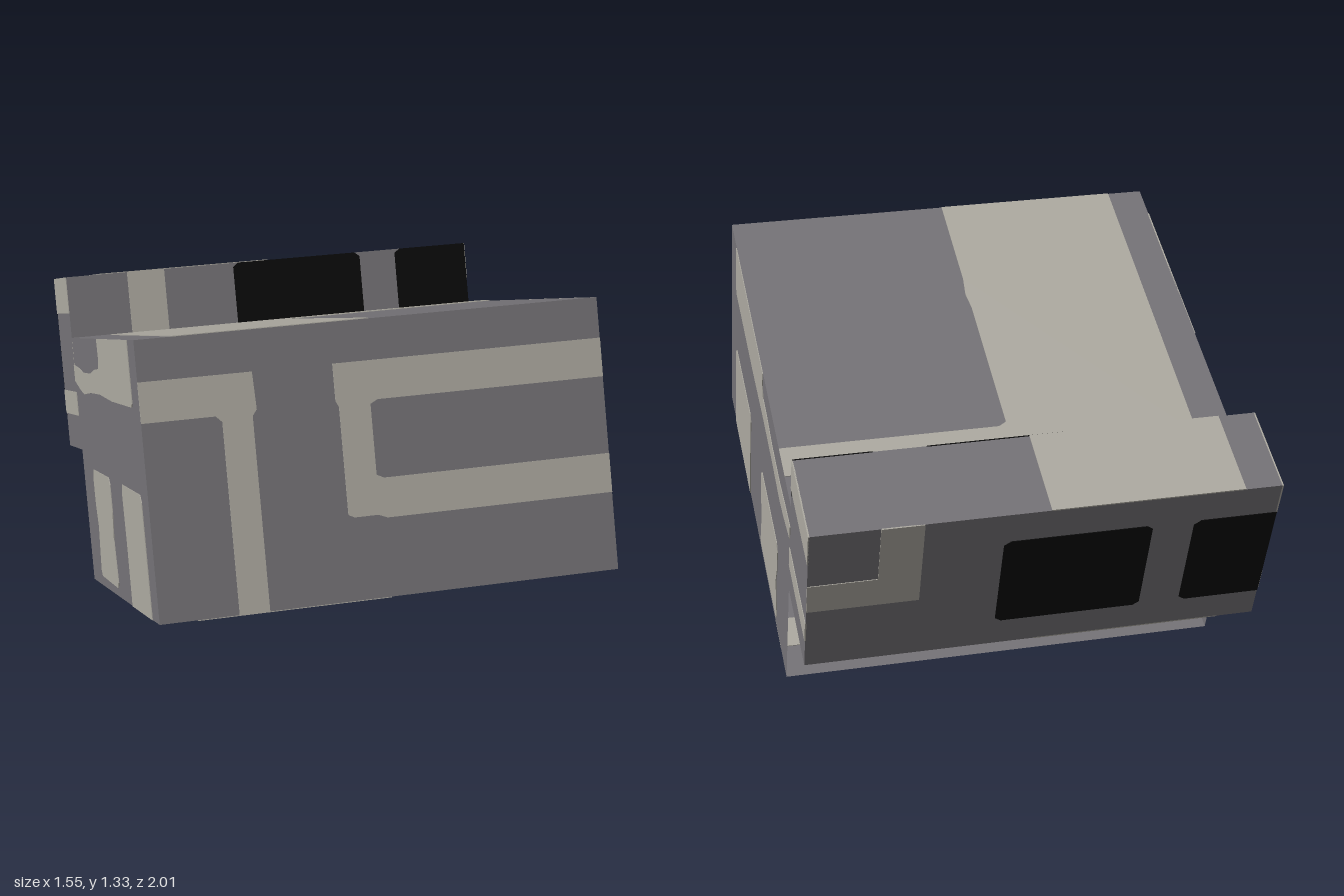
import * as THREE from 'three';

const mat = (name, color) => {
  const m = new THREE.MeshStandardMaterial({ color, side: THREE.DoubleSide });
  m.name = name;
  return m;
};

export function createModel() {
  const grey = mat('grey', 0x757377);
  const pale = mat('paleGrey', 0xadaaa1);
  const black = mat('black', 0x080808);

  const W = 0.775;                 // half width
  const L = 1.395, H = 0.905;      // body depth and height
  const B = -0.33, S0 = 0.487, S1 = 1.131; // rear block back, bottom, top

  const X = new THREE.Vector3(1, 0, 0);
  const Y = new THREE.Vector3(0, 1, 0);
  const Z = new THREE.Vector3(0, 0, 1);
  // Drawing planes: wall (x,y), side (z,y), deck (x,z)
  const planes = { wall: [X, Y], side: [Z, Y], deck: [X, Z] };

  const rect = (x0, y0, x1, y1) => [[x0, y0], [x1, y0], [x1, y1], [x0, y1]];
  const toShape = (pts) => new THREE.Shape(pts.map(([a, b]) => new THREE.Vector2(a, b)));

  // One flat panel with thin painted plates that show on both of its sides
  function panel(parent, name, plane, offset, outline, patches) {
    const g = new THREE.Group();
    g.name = name;
    const [a, b] = planes[plane];
    const n = a.clone().cross(b);
    const basis = new THREE.Matrix4().makeBasis(a, b, n);
    const add = (geo, material, part) => {
      geo.applyMatrix4(basis);
      const m = new THREE.Mesh(geo, material);
      m.name = part;
      g.add(m);
    };
    add(new THREE.ShapeGeometry(toShape(outline)), grey, name + 'Base');
    patches.forEach(([material, pts]) => {
      const geo = new THREE.ExtrudeGeometry(toShape(pts), { depth: 0.005, bevelEnabled: false });
      add(geo.translate(0, 0, -0.0025), material, name + 'Patch');
    });
    if (plane === 'wall') g.position.z = offset;
    else if (plane === 'side') g.position.x = offset;
    else g.position.y = offset;
    parent.add(g);
  }

  const tilted = new THREE.Group();
  tilted.name = 'tiltedAssembly';
  tilted.rotation.x = -0.351;
  tilted.position.z = -0.31;

  // Body: a box left open at the back
  const body = new THREE.Group();
  body.name = 'body';
  tilted.add(body);

  panel(body, 'front', 'wall', L, rect(-W, 0, W, H), [
    [pale, [[-W, 0.64], [-0.535, 0.64], [-0.515, 0.62], [-0.515, 0], [-0.415, 0],
      [-0.415, 0.63], [-0.4, 0.65], [-0.405, 0.771], [-W, 0.771]]],
    [pale, [[-0.14, 0.771], [-0.14, 0.65], [-0.13, 0.63], [-0.13, 0.28], [-0.11, 0.27],
      [-0.03, 0.27], [0, 0.258], [W, 0.258], [W, 0.388], [0, 0.388], [-0.025, 0.4],
      [-0.025, 0.63], [0, 0.643], [W, 0.643], [W, 0.771]]],
  ]);

  const deckPatch = [[-0.65, 0.135], [W, 0.135], [W, 0.262], [0.02, 0.262], [-0.008, 0.28],
    [-0.008, 0.85], [0, 0.92], [-0.008, 1], [-0.008, L], [-0.65, L]];
  for (const [name, y] of [['floor', 0], ['roof', H]]) {
    panel(body, name, 'deck', y, rect(-W, 0, W, L), [[pale, deckPatch]]);
  }

  const sidePatches = [
    [pale, [[0.885, 0], [1.27, 0], [1.27, 0.38], [1.25, 0.405], [0.9, 0.415], [0.883, 0.39],
      [0.89, 0.2]]],
    [pale, [[0.228, 0.06], [0.245, 0.037], [0.6, 0.03], [0.615, 0.05], [0.598, 0.2],
      [0.625, 0.3], [0.625, 0.395], [0.605, 0.42], [0.26, 0.428], [0.238, 0.4], [0.24, 0.3],
      [0.262, 0.22]]],
    [pale, [[1.268, H], [1.266, 0.7], [1.25, 0.687], [0.85, 0.694], [0.59, 0.71], [0.38, 0.71],
      [0.21, 0.7], [0.12, 0.715], [0, 0.745], [0, 0.805], [0.12, 0.795], [0.222, 0.78],
      [0.4, 0.779], [0.5, 0.795], [0.602, 0.8], [0.625, 0.84], [0.618, H]]],
  ];
  for (const [name, x] of [['leftSide', W], ['rightSide', -W]]) {
    panel(body, name, 'side', x, rect(0, 0, L, H), sidePatches);
  }

  // Rear block: a closed box standing above the body's back edge
  const block = new THREE.Group();
  block.name = 'rearBlock';
  tilted.add(block);

  // s mirrors the pattern between the back and front walls
  const blockWall = (name, z, s, top) => {
    const flip = (pts) => pts.map(([x, y]) => [s * x, y]);
    panel(block, name, 'wall', z, rect(-W, S0, W, S1), [
      [pale, flip([[0.546, S1], [0.405, S1], [0.405, 0.763], [W, 0.763], [W, 0.89], [0.546, 0.89]])],
      [black, flip([[0.14, 0.62], [0.12, 0.605], [-0.335, 0.605], [-0.355, 0.62],
        [-0.355, top - 0.015], [-0.335, top], [0.12, top], [0.14, top - 0.015]])],
      [black, flip([[-0.495, 0.62], [-0.515, 0.605], [-W, 0.605], [-W, top],
        [-0.515, top], [-0.495, top - 0.015]])],
    ]);
  };
  blockWall('blockBack', B, 1, 1.003);
  blockWall('blockFront', 0, -1, S1);

  for (const [name, y] of [['blockBottom', S0], ['blockTop', S1]]) {
    panel(block, name, 'deck', y, rect(-W, B, W, 0), [[pale, rect(-0.65, B, -0.005, 0)]]);
  }
  for (const [name, x] of [['blockLeft', W], ['blockRight', -W]]) {
    panel(block, name, 'side', x, rect(B, S0, 0, S1), [
      [pale, rect(B, 0.997, 0, S1)],
      [pale, rect(B, 0.614, 0, 0.703)],
    ]);
  }

  const model = new THREE.Group();
  model.name = 'model';
  model.add(tilted);
  return model;
}
